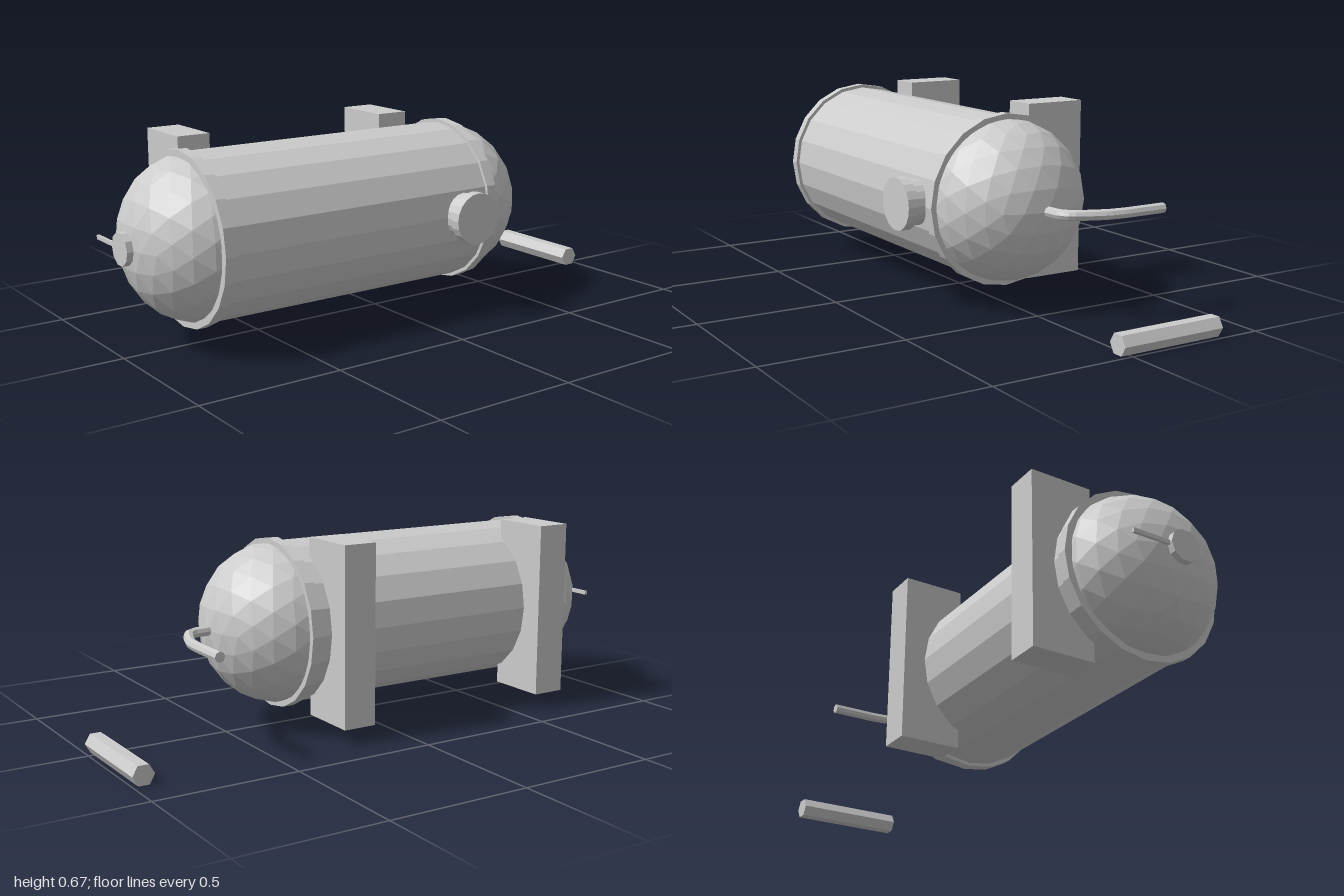
import * as THREE from 'three';

const AXIS_Y = 0.364, AXIS_Z = 0.006;

export function createModel() {
  const model = new THREE.Group();
  const grey = new THREE.MeshStandardMaterial({ color: 0xcccccc, flatShading: true });

  const add = (name, geometry, x, y, z) => {
    const mesh = new THREE.Mesh(geometry, grey);
    mesh.name = name;
    mesh.position.set(x, y, z);
    model.add(mesh);
    return mesh;
  };
  const cylinderX = (r, x0, x1, sides) => new THREE.CylinderGeometry(r, r, x1 - x0, sides).rotateZ(Math.PI / 2);
  const cylinderZ = (r, z0, z1, sides) => new THREE.CylinderGeometry(r, r, z1 - z0, sides).rotateX(Math.PI / 2);
  const addAlongX = (name, r, x0, x1, sides) => add(name, cylinderX(r, x0, x1, sides), (x0 + x1) / 2, AXIS_Y, AXIS_Z);
  const addAlongZ = (name, r, z0, z1, sides, x, y) => add(name, cylinderZ(r, z0, z1, sides), x, y, (z0 + z1) / 2);

  // Horizontal tank with a raised band at each end
  addAlongX('tankBody', 0.285, -0.765, 0.3, 20);
  addAlongX('bandRight', 0.297, -0.785, -0.75, 20);
  addAlongX('bandLeft', 0.297, 0.282, 0.32, 20);

  // Faceted, slightly flattened end domes
  for (const [name, x, depth] of [['domeRight', -0.74, 0.24], ['domeLeft', 0.3, 0.26]]) {
    const dome = new THREE.IcosahedronGeometry(1, 3).scale(depth, 0.28, 0.28);
    add(name, dome, x, AXIS_Y, AXIS_Z);
  }

  // Rear mounting blocks
  for (const [name, x] of [['mountRight', -0.65], ['mountLeft', 0.18]]) {
    add(name, new THREE.BoxGeometry(0.12, 0.622, 0.223), x, 0.364, -0.2475);
  }

  // Filler neck and cap on the front
  addAlongZ('fillerNeck', 0.079, 0.2, 0.33, 20, 0.182, AXIS_Y);
  addAlongZ('fillerCap', 0.091, 0.323, 0.36, 20, 0.182, AXIS_Y);

  // Valve and thin lever on the right end
  addAlongX('valveBase', 0.045, -0.985, -0.95, 10);
  addAlongX('valveDisc', 0.056, -1, -0.978, 10);
  add('valveLever', new THREE.BoxGeometry(0.01, 0.014, 0.19), -0.986, AXIS_Y, -0.09);

  // Bent outlet pipe, built as one mitred six-sided sweep
  const points = [[0.53, 0.004], [0.615, -0.006], [0.645, -0.03], [0.67, -0.085], [0.69, -0.14], [0.697, -0.2], [0.697, -0.36]]
    .map(([x, z]) => new THREE.Vector3(x, 0.365, z));
  const path = new THREE.CurvePath();
  for (let i = 1; i < points.length; i++) path.add(new THREE.LineCurve3(points[i - 1], points[i]));
  add('outletPipe', new THREE.TubeGeometry(path, 28, 0.018, 8), 0, 0, 0);
  addAlongZ('outletPipeEnd', 0.018, -0.36, -0.34, 8, 0.697, 0.365);

  // Separate hexagonal rod lying beside the tank
  const rod = new THREE.CylinderGeometry(0.0375, 0.0375, 0.389, 6).rotateY(Math.PI / 2).rotateX(Math.PI / 2);
  add('hexRod', rod, 0.9625, 0.0325, -0.1655);

  return model;
}
